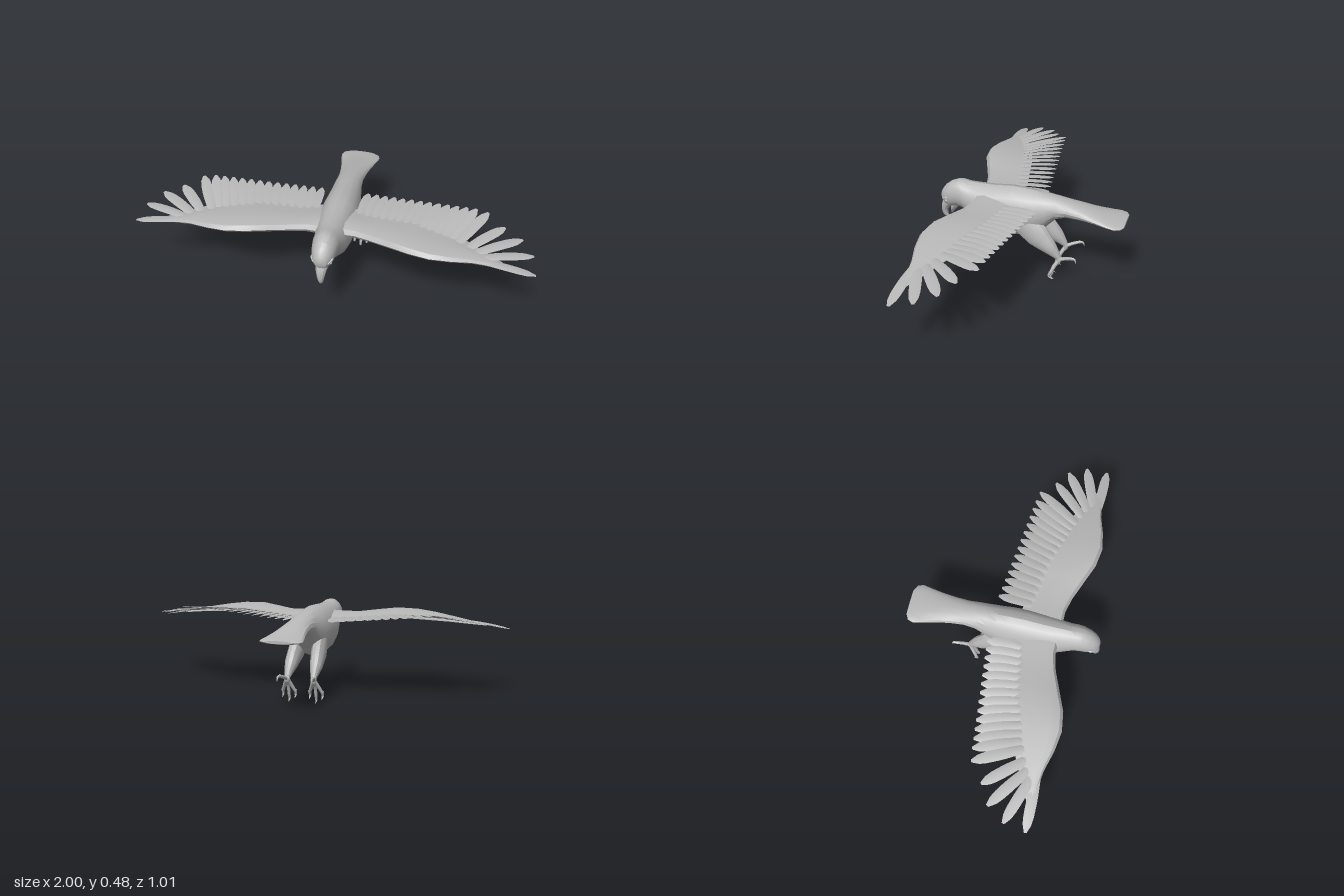
import * as THREE from 'three';
import { toCreasedNormals } from 'three/addons/utils/BufferGeometryUtils.js';

const plumage = new THREE.MeshStandardMaterial({ color: 0xb8b8b8 });
plumage.name = 'plumage grey';

const V = (x, y, z) => new THREE.Vector3(x, y, z);
const lerp = THREE.MathUtils.lerp;

// Closed skin over equal-sized rings of points; side = -1 mirrors across x.
function loft(name, rings, side = 1, crease = 0.5) {
  const n = rings[0].length, pos = [], idx = [];
  const all = rings.flat();
  const centre = (r) => r.reduce((s, p) => s.add(p), V(0, 0, 0)).divideScalar(n);
  all.push(centre(rings[0]), centre(rings[rings.length - 1]));
  all.forEach((p) => pos.push(p.x * side, p.y, p.z));
  for (let i = 0; i < rings.length - 1; i++) {
    for (let j = 0; j < n; j++) {
      const a = i * n + j, b = i * n + (j + 1) % n;
      idx.push(a, b, a + n, b, b + n, a + n);
    }
  }
  const last = (rings.length - 1) * n, c = all.length - 2;
  for (let j = 0; j < n; j++) {
    const k = (j + 1) % n;
    idx.push(c, k, j, c + 1, last + j, last + k);
  }
  // Turn the skin outward if its signed volume is negative.
  const at = (i) => V(pos[i * 3], pos[i * 3 + 1], pos[i * 3 + 2]);
  let volume = 0;
  for (let i = 0; i < idx.length; i += 3) {
    volume += at(idx[i]).dot(at(idx[i + 1]).cross(at(idx[i + 2])));
  }
  if (volume < 0) idx.reverse();
  const g = new THREE.BufferGeometry();
  g.setAttribute('position', new THREE.Float32BufferAttribute(pos, 3));
  g.setIndex(idx);
  const mesh = new THREE.Mesh(toCreasedNormals(g, crease), plumage);
  mesh.name = name;
  return mesh;
}

// Elliptical tube along a curve: radii a lie along ref, radii b across it.
function sweep(name, points, a, b, ref, side = 1, segs = 8, steps = 8) {
  const curve = new THREE.CatmullRomCurve3(points.map((p) => V(...p)));
  const pick = (r, t) => {
    const f = t * (r.length - 1), i = Math.min(Math.floor(f), r.length - 2);
    return lerp(r[i], r[i + 1], f - i);
  };
  const rings = [];
  for (let i = 0; i <= steps; i++) {
    const t = i / steps, p = curve.getPoint(t), d = curve.getTangent(t);
    const across = ref.clone().cross(d).normalize(), up = d.clone().cross(across);
    rings.push(Array.from({ length: segs }, (_, j) => {
      const q = (j / segs) * Math.PI * 2;
      return p.clone().addScaledVector(up, Math.sin(q) * pick(a, t))
        .addScaledVector(across, Math.cos(q) * pick(b, t));
    }));
  }
  return loft(name, rings, side);
}

// Head, body and tail: z, top, bottom, half width.
const BODY = [
  [0.499, 0.395, 0.37, 0.01], [0.49, 0.415, 0.345, 0.03], [0.47, 0.442, 0.325, 0.045],
  [0.44, 0.466, 0.318, 0.056], [0.4, 0.481, 0.327, 0.063], [0.37, 0.482, 0.32, 0.066],
  [0.34, 0.476, 0.292, 0.07], [0.3, 0.475, 0.258, 0.078], [0.25, 0.475, 0.229, 0.088],
  [0.2, 0.476, 0.214, 0.094], [0.1, 0.485, 0.207, 0.098], [0.03, 0.482, 0.216, 0.095],
  [-0.03, 0.476, 0.235, 0.088], [-0.09, 0.469, 0.285, 0.079], [-0.14, 0.461, 0.338, 0.071],
  [-0.2, 0.448, 0.358, 0.067], [-0.28, 0.432, 0.361, 0.074], [-0.35, 0.414, 0.36, 0.085],
  [-0.42, 0.398, 0.358, 0.1], [-0.46, 0.391, 0.36, 0.108], [-0.49, 0.386, 0.364, 0.098],
  [-0.505, 0.383, 0.368, 0.07],
];

// Wing arm: x, leading z, trailing z, height, thickness.
const ARM = [
  [0.03, 0.29, 0.06, 0.405, 0.06], [0.12, 0.29, 0.08, 0.407, 0.05], [0.2, 0.31, 0.08, 0.408, 0.045],
  [0.3, 0.35, 0.1, 0.418, 0.046], [0.4, 0.39, 0.12, 0.427, 0.046], [0.5, 0.405, 0.15, 0.424, 0.042],
  [0.6, 0.39, 0.18, 0.415, 0.036], [0.7, 0.362, 0.23, 0.403, 0.028], [0.8, 0.348, 0.28, 0.388, 0.018],
  [0.88, 0.352, 0.325, 0.376, 0.008],
];
const AIRFOIL = [[0, 0], [0.06, 0.45], [0.25, 0.6], [0.6, 0.38], [1, 0.06], [1, -0.06],
  [0.6, -0.15], [0.25, -0.4], [0.06, -0.4]];

// Separated outer feathers: root x, root z, tip x, tip z, tip y, half width.
const PRIMARIES = [
  [0.61, 0.27, 0.745, 0.015, 0.45, 0.028], [0.65, 0.29, 0.835, 0.085, 0.425, 0.028],
  [0.68, 0.31, 0.925, 0.137, 0.405, 0.028], [0.7, 0.325, 0.985, 0.228, 0.385, 0.027],
  [0.7, 0.335, 1.0, 0.34, 0.361, 0.026],
];

function armHeight(x) {
  const i = Math.max(1, ARM.findIndex((s) => s[0] >= x));
  const [p, q] = [ARM[i - 1], ARM[i]];
  return lerp(p[3], q[3], (x - p[0]) / (q[0] - p[0]));
}

function feather(name, [rx, rz, tx, tz, ty, w], side) {
  const ry = armHeight(rx);
  const mid = [lerp(rx, tx, 0.5), lerp(ry, ty, 0.5) + 0.004, lerp(rz, tz, 0.5)];
  return sweep(name, [[rx, ry, rz], mid, [tx, ty, tz]],
    [0.005, 0.005, 0.004, 0.003, 0.001], [0.6, 0.75, 0.85, 0.95, 1, 1, 0.97, 0.8, 0.25].map((k) => k * w),
    V(0.16, 1, 0).normalize(), side, 6, 8);
}

function wing(side) {
  const g = new THREE.Group();
  g.name = side > 0 ? 'leftWing' : 'rightWing';
  g.add(loft('wingArm', ARM.map(([x, zl, zt, y, h]) =>
    AIRFOIL.map(([t, k]) => V(x, y + k * h, lerp(zl, zt, t)))), side));
  for (let i = 0; i < 13; i++) {
    const t = i / 12;
    g.add(feather('flightFeather', [lerp(0.12, 0.58, t), lerp(0.19, 0.25, t), lerp(0.125, 0.685, t),
      lerp(-0.062, 0.005, t), lerp(0.415, 0.457, t), 0.027], side));
  }
  PRIMARIES.forEach((p) => g.add(feather('primaryFeather', p, side)));
  return g;
}

function leg(side) {
  const g = new THREE.Group(), X = V(1, 0, 0);
  g.name = side > 0 ? 'leftLeg' : 'rightLeg';
  g.add(sweep('thigh', [[0.05, 0.32, 0.03], [0.062, 0.252, -0.05], [0.068, 0.193, -0.12], [0.07, 0.138, -0.172]],
    [0.036, 0.038, 0.033, 0.015], [0.075, 0.07, 0.042, 0.015], X, side, 12, 9));
  g.add(sweep('ankle', [[0.07, 0.15, -0.165], [0.071, 0.125, -0.173], [0.072, 0.1, -0.16]],
    [0.014, 0.017, 0.013], [0.014, 0.015, 0.01], X, side));
  // Three front toes fan out, each ending in a curled claw.
  [-1, 0, 1].forEach((k) => {
    const x = 0.073 + k * 0.034, lift = Math.abs(k) * 0.022;
    g.add(sweep('frontToe', [[0.072 + k * 0.006, 0.122, -0.17], [0.073 + k * 0.024, 0.08, -0.147],
      [x, 0.035 + lift, -0.136]], [0.01, 0.009, 0.008], [0.01, 0.009, 0.008], X, side));
    g.add(sweep('frontClaw', [[x, 0.043 + lift, -0.138], [x, 0.015 + lift, -0.129], [x, 0.001 + lift, -0.147]],
      [0.008, 0.006, 0.001], [0.009, 0.006, 0.001], X, side, 6));
  });
  g.add(sweep('hindToe', [[0.072, 0.128, -0.172], [0.08, 0.145, -0.21], [0.088, 0.156, -0.245]],
    [0.011, 0.009, 0.008], [0.011, 0.009, 0.008], X, side));
  g.add(sweep('hindClaw', [[0.087, 0.156, -0.24], [0.09, 0.154, -0.262], [0.092, 0.132, -0.27]],
    [0.008, 0.006, 0.001], [0.009, 0.006, 0.001], X, side, 6));
  return g;
}

export function createModel() {
  const bird = new THREE.Group(), X = V(1, 0, 0);
  bird.name = 'bird';
  bird.add(loft('body', BODY.map(([z, top, bottom, w]) => Array.from({ length: 16 }, (_, j) => {
    const q = (j / 16) * Math.PI * 2;
    return V(Math.cos(q) * w, (top + bottom) / 2 + Math.sin(q) * (top - bottom) / 2, z);
  }))));
  // Hooked beak
  bird.add(sweep('upperBeak', [[0, 0.36, 0.435], [0, 0.335, 0.468], [0, 0.297, 0.486], [0, 0.26, 0.482], [0, 0.238, 0.457]],
    [0.04, 0.03, 0.02, 0.012, 0.001], [0.04, 0.03, 0.019, 0.014, 0.001], X, 1, 10, 12));
  bird.add(sweep('lowerBeak', [[0, 0.345, 0.415], [0, 0.31, 0.435], [0, 0.273, 0.447]],
    [0.035, 0.024, 0.004], [0.025, 0.017, 0.003], X, 1, 8, 6));
  for (const s of [1, -1]) {
    bird.add(wing(s), leg(s));
    const eye = new THREE.Mesh(new THREE.SphereGeometry(0.011, 10, 8), plumage);
    eye.name = 'eye';
    eye.position.set(s * 0.04, 0.364, 0.458);
    bird.add(eye);
    bird.add(sweep('brow', [[0.05, 0.386, 0.435], [0.047, 0.383, 0.46], [0.034, 0.372, 0.484]],
      [0.004, 0.009, 0.003], [0.003, 0.007, 0.003], X, s, 6, 6));
  }
  return bird;
}
